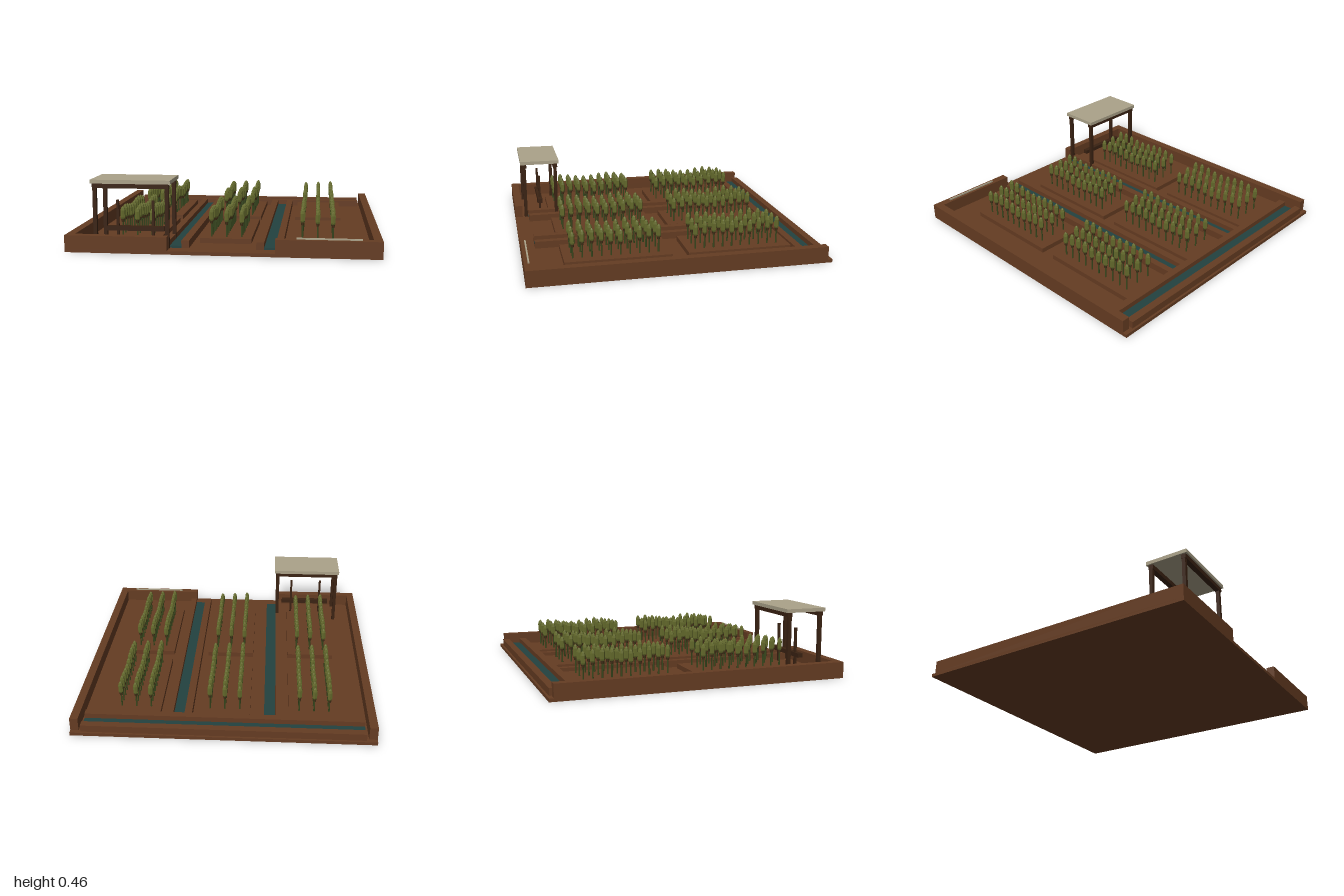
import * as THREE from 'three';

const mat = (name, color) => {
  const m = new THREE.MeshStandardMaterial({ color });
  m.name = name;
  return m;
};

export function createModel() {
  const model = new THREE.Group();
  model.name = 'fieldPlot';
  const soil = mat('soil', 0x653c22);
  const water = mat('water', 0x234240);
  const wood = mat('darkWood', 0x3a2212);
  const pale = mat('paleStraw', 0xaba289);
  const stemGreen = mat('stemGreen', 0x3a4a1e);
  const headOlive = mat('headOlive', 0x646a2c);
  const husk = mat('husk', 0x45351a);

  // box given by its extents on each axis
  const box = (parent, name, m, x0, x1, y0, y1, z0, z1) => {
    const mesh = new THREE.Mesh(new THREE.BoxGeometry(x1 - x0, y1 - y0, z1 - z0), m);
    mesh.position.set((x0 + x1) / 2, (y0 + y1) / 2, (z0 + z1) / 2);
    mesh.name = name;
    parent.add(mesh);
    return mesh;
  };

  // ground and outer walls, open at the back and at the front gap
  box(model, 'ground', soil, -1, 1, 0, 0.022, -1, 1);
  for (const s of [-1, 1]) {
    const span = (a, b) => (s > 0 ? [a, b] : [-b, -a]);
    box(model, 'sideWall', soil, ...span(0.945, 1), 0.022, 0.11, -0.97, 1);
    box(model, 'frontWall', soil, ...span(0.34, 0.945), 0.022, 0.11, 0.945, 1);
    // long irrigation channels
    box(model, 'channelBank', soil, ...span(0.34, 0.385), 0.022, 0.07, -0.8, 0.9);
    box(model, 'channelBank', soil, ...span(0.215, 0.265), 0.022, 0.07, -0.8, 0.9);
    box(model, 'channelWater', water, ...span(0.265, 0.34), 0.022, 0.036, -0.8, 0.9);
  }

  // main channel across the back
  box(model, 'backBank', soil, -0.93, 0.93, 0.022, 0.07, -0.985, -0.935);
  box(model, 'backBank', soil, -0.93, 0.93, 0.022, 0.07, -0.85, -0.8);
  box(model, 'backWater', water, -0.93, 0.93, 0.022, 0.036, -0.935, -0.85);

  // one crop plant: stem, husk and pointed seed head
  const stemGeo = new THREE.CylinderGeometry(0.005, 0.006, 0.11, 5);
  const huskGeo = new THREE.CylinderGeometry(0.014, 0.009, 0.025, 6);
  const headGeo = new THREE.LatheGeometry(
    [[0.012, 0], [0.017, 0.012], [0.017, 0.06], [0.011, 0.078], [0, 0.09]]
      .map(([r, y]) => new THREE.Vector2(r, y)), 6).toNonIndexed();
  headGeo.computeVertexNormals();
  const addPlant = (parent, x, z, lift) => {
    const plant = new THREE.Group();
    plant.name = 'plant';
    const part = (name, geo, m, y) => {
      const mesh = new THREE.Mesh(geo, m);
      mesh.name = name;
      mesh.position.y = y;
      plant.add(mesh);
    };
    part('stem', stemGeo, stemGreen, 0.105 + lift);
    part('husk', huskGeo, husk, 0.159 + lift);
    part('seedHead', headGeo, headOlive, 0.164 + lift);
    plant.position.set(x, 0, z);
    parent.add(plant);
  };

  // six raised beds, each with three columns of ten plants
  for (const cx of [-0.6, 0, 0.6]) {
    for (const [z0, firstRow] of [[-0.8, -0.718], [0.025, 0.107]]) {
      const bed = new THREE.Group();
      bed.name = 'cropBed';
      model.add(bed);
      box(bed, 'bedSoil', soil, cx - 0.17, cx + 0.17, 0.022, 0.055, z0, z0 + 0.715);
      for (let row = 0; row < 10; row++)
        for (let col = -1; col <= 1; col++)
          addPlant(bed, cx + col * 0.1, firstRow + row * 0.0635,
            -0.01 + 0.011 * Math.sin(row * 1.05 + col * 0.6));
    }
  }

  // shelter with four posts, two beams and a flat roof
  const shelter = new THREE.Group();
  shelter.name = 'shelter';
  model.add(shelter);
  box(shelter, 'roof', pale, -0.84, -0.325, 0.435, 0.46, 0.655, 0.945);
  for (const z of [0.683, 0.917]) {
    box(shelter, 'roofBeam', wood, -0.83, -0.335, 0.405, 0.435, z - 0.017, z + 0.017);
    for (const x of [-0.817, -0.35])
      box(shelter, 'post', wood, x - 0.012, x + 0.012, 0.022, 0.41, z - 0.012, z + 0.012);
  }

  // low rack standing under the roof
  box(shelter, 'rackBar', wood, -0.77, -0.39, 0.11, 0.14, 0.785, 0.82);
  for (const x of [-0.7, -0.465])
    box(shelter, 'rackUpright', wood, x - 0.008, x + 0.008, 0.022, 0.31, 0.794, 0.81);

  // thin strip laid on the front wall
  box(model, 'wallStrip', pale, 0.47, 0.875, 0.11, 0.12, 0.965, 0.975);
  return model;
}
